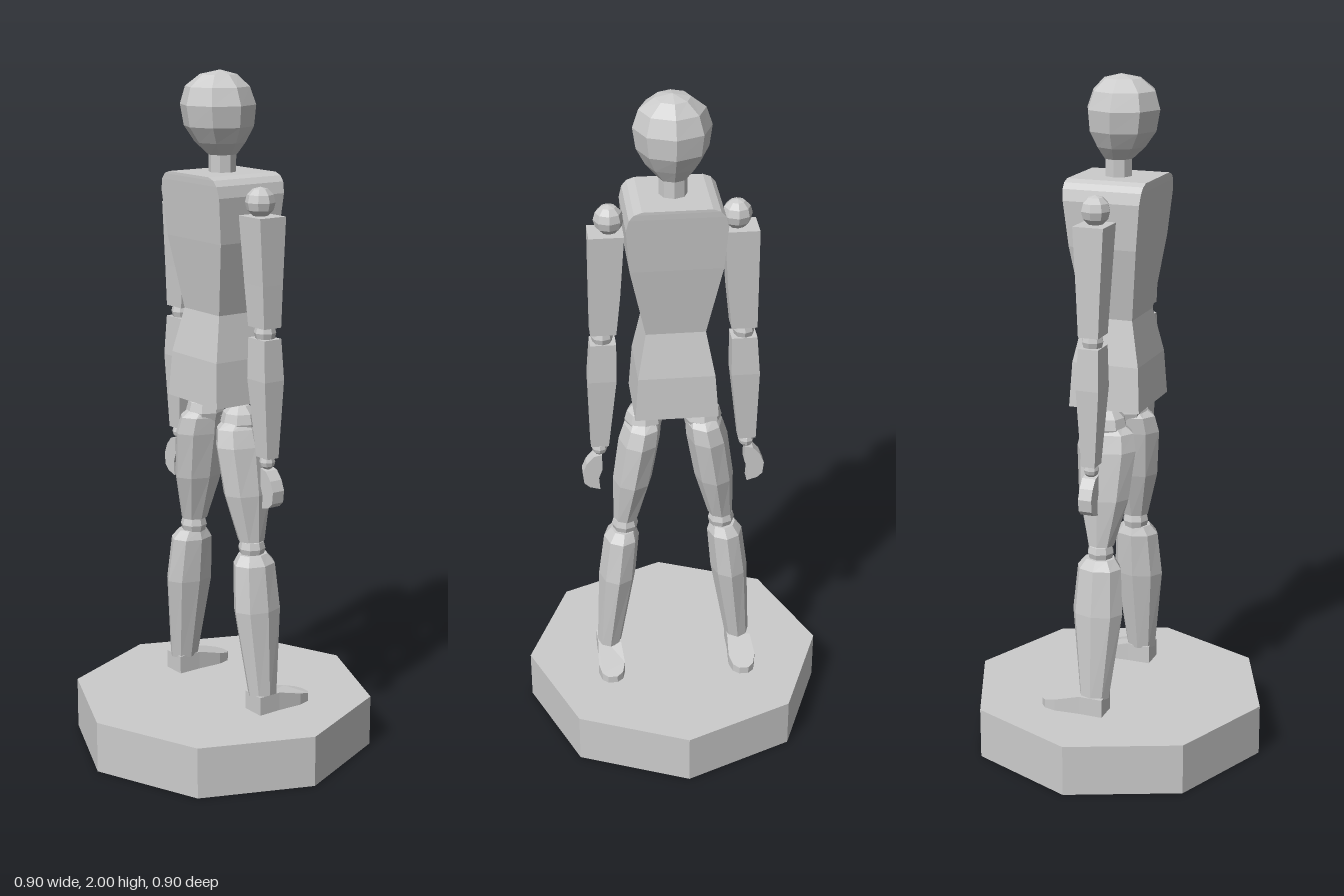
import * as THREE from 'three';

const material = new THREE.MeshStandardMaterial({ color: 0xcccccc, flatShading: true });

function add(parent, name, geometry, x = 0, y = 0, z = 0) {
  const mesh = new THREE.Mesh(geometry, material);
  mesh.name = name;
  mesh.position.set(x, y, z);
  parent.add(mesh);
  return mesh;
}

// Closed loft through horizontal rings [x, y, z, halfWidth, halfDepth], bottom to top.
// Four sides give a rectangle, more sides an ellipse with corners on the axes.
function loft(rings, sides) {
  const turn = sides === 4 ? Math.PI / 4 : 0;
  const grow = sides === 4 ? Math.SQRT2 : 1;
  const pos = [], idx = [];
  for (const [x, y, z, w, d] of rings) {
    for (let i = 0; i < sides; i++) {
      const a = turn + (i / sides) * Math.PI * 2;
      pos.push(x + Math.sin(a) * w * grow, y, z + Math.cos(a) * d * grow);
    }
  }
  const top = (rings.length - 1) * sides;
  for (let r = 0; r < top; r += sides) {
    for (let i = 0; i < sides; i++) {
      const a = r + i, b = r + ((i + 1) % sides);
      idx.push(a, b, b + sides, a, b + sides, a + sides);
    }
  }
  for (let i = 1; i < sides - 1; i++) {
    idx.push(0, i + 1, i, top, top + i, top + i + 1);
  }
  const geometry = new THREE.BufferGeometry();
  geometry.setAttribute('position', new THREE.Float32BufferAttribute(pos, 3));
  geometry.setIndex(idx);
  const flat = geometry.toNonIndexed();
  flat.computeVertexNormals();
  return flat;
}

const ball = (r) => new THREE.SphereGeometry(r, 8, 6);
const outline = (points, s) => new THREE.Shape(points.map(([x, y]) => new THREE.Vector2(x * s, y)));

function buildArm(s) {
  const arm = new THREE.Group();
  arm.name = s > 0 ? 'leftArm' : 'rightArm';
  const limb = (name, rings) => add(arm, name, loft(rings.map(([x, ...rest]) => [x * s, ...rest]), 4));

  add(arm, 'shoulderJoint', ball(0.043), 0.178 * s, 1.647, 0);
  limb('upperArm', [
    [0.201, 1.3, 0, 0.037, 0.03],
    [0.195, 1.42, 0, 0.043, 0.035],
    [0.188, 1.61, 0, 0.049, 0.045],
  ]);
  add(arm, 'elbowJoint', ball(0.032), 0.203 * s, 1.284, 0);
  limb('forearm', [
    [0.217, 0.925, 0, 0.026, 0.02],
    [0.207, 1.15, 0, 0.041, 0.034],
    [0.202, 1.268, 0, 0.037, 0.03],
  ]);
  add(arm, 'wristJoint', ball(0.023), 0.217 * s, 0.912, 0);

  // Flat mitten hand
  const hand = outline([
    [0.212, 0.895], [0.236, 0.89], [0.258, 0.865], [0.27, 0.835], [0.266, 0.8],
    [0.25, 0.785], [0.219, 0.776], [0.222, 0.815], [0.211, 0.845],
  ], s);
  add(arm, 'hand', new THREE.ExtrudeGeometry(hand, { depth: 0.04, bevelEnabled: false }), 0, 0, -0.02);
  return arm;
}

function buildLeg(s) {
  const leg = new THREE.Group();
  leg.name = s > 0 ? 'leftLeg' : 'rightLeg';
  const limb = (name, rings) => add(leg, name, loft(rings.map(([x, ...rest]) => [x * s, ...rest]), 8));

  add(leg, 'hipJoint', ball(0.057), 0.086 * s, 1.004, 0);
  limb('thigh', [
    [0.143, 0.66, 0, 0.037, 0.04],
    [0.122, 0.8, 0, 0.058, 0.077],
    [0.1, 0.94, 0, 0.061, 0.09],
    [0.09, 0.99, 0, 0.055, 0.08],
    [0.087, 1.015, 0, 0.042, 0.045],
  ]);
  add(leg, 'kneeJoint', ball(0.04), 0.146 * s, 0.638, 0);
  limb('shin', [
    [0.2, 0.2, 0, 0.037, 0.045],
    [0.172, 0.46, 0, 0.056, 0.077],
    [0.157, 0.595, 0, 0.053, 0.067],
    [0.151, 0.622, 0, 0.038, 0.045],
  ]);

  // Foot outline seen from above, its upper side sloping down to the toe
  const sole = outline([
    [0.167, -0.037], [0.239, -0.037], [0.238, 0.035], [0.243, 0.11], [0.234, 0.145],
    [0.217, 0.16], [0.189, 0.16], [0.171, 0.145], [0.162, 0.11], [0.167, 0.035],
  ], s);
  const foot = new THREE.ExtrudeGeometry(sole, { depth: 1, bevelEnabled: false });
  foot.rotateX(-Math.PI / 2);
  const p = foot.attributes.position;
  for (let i = 0; i < p.count; i++) {
    const toe = Math.max(0, (-p.getZ(i) - 0.035) / 0.125);
    p.setY(i, p.getY(i) * (0.055 - 0.033 * toe));
  }
  foot.computeVertexNormals();
  add(leg, 'foot', foot, 0, 0.152, 0);
  return leg;
}

export function createModel() {
  const model = new THREE.Group();
  model.name = 'poseableFigure';

  add(model, 'base', new THREE.CylinderGeometry(0.45, 0.45, 0.152, 8), 0, 0.076, 0);

  // Square-sectioned trunk with a narrow waist and chamfered shoulders
  add(model, 'torso', loft([
    [0, 1.06, 0, 0.12, 0.107],
    [0, 1.19, 0, 0.11, 0.1],
    [0, 1.32, 0, 0.085, 0.073],
    [0, 1.53, 0, 0.13, 0.1],
    [0, 1.66, 0, 0.14, 0.113],
    [0, 1.692, 0, 0.132, 0.116],
    [0, 1.708, 0, 0.118, 0.117],
    [0, 1.716, 0, 0.096, 0.117],
  ], 4));

  add(model, 'neck', new THREE.CylinderGeometry(0.04, 0.04, 0.08, 8), 0, 1.745, 0);

  // Faceted head, fuller on one side than the other
  add(model, 'head', loft([
    [0, 1.765, 0, 0.042, 0.042],
    [0, 1.8, 0.008, 0.075, 0.072],
    [0, 1.845, 0.012, 0.1, 0.1],
    [0, 1.905, 0.015, 0.109, 0.108],
    [0, 1.955, 0.017, 0.092, 0.092],
    [0, 1.988, 0.013, 0.05, 0.055],
    [0, 2, 0.008, 0.001, 0.001],
  ], 8));

  for (const s of [1, -1]) model.add(buildArm(s), buildLeg(s));
  return model;
}
